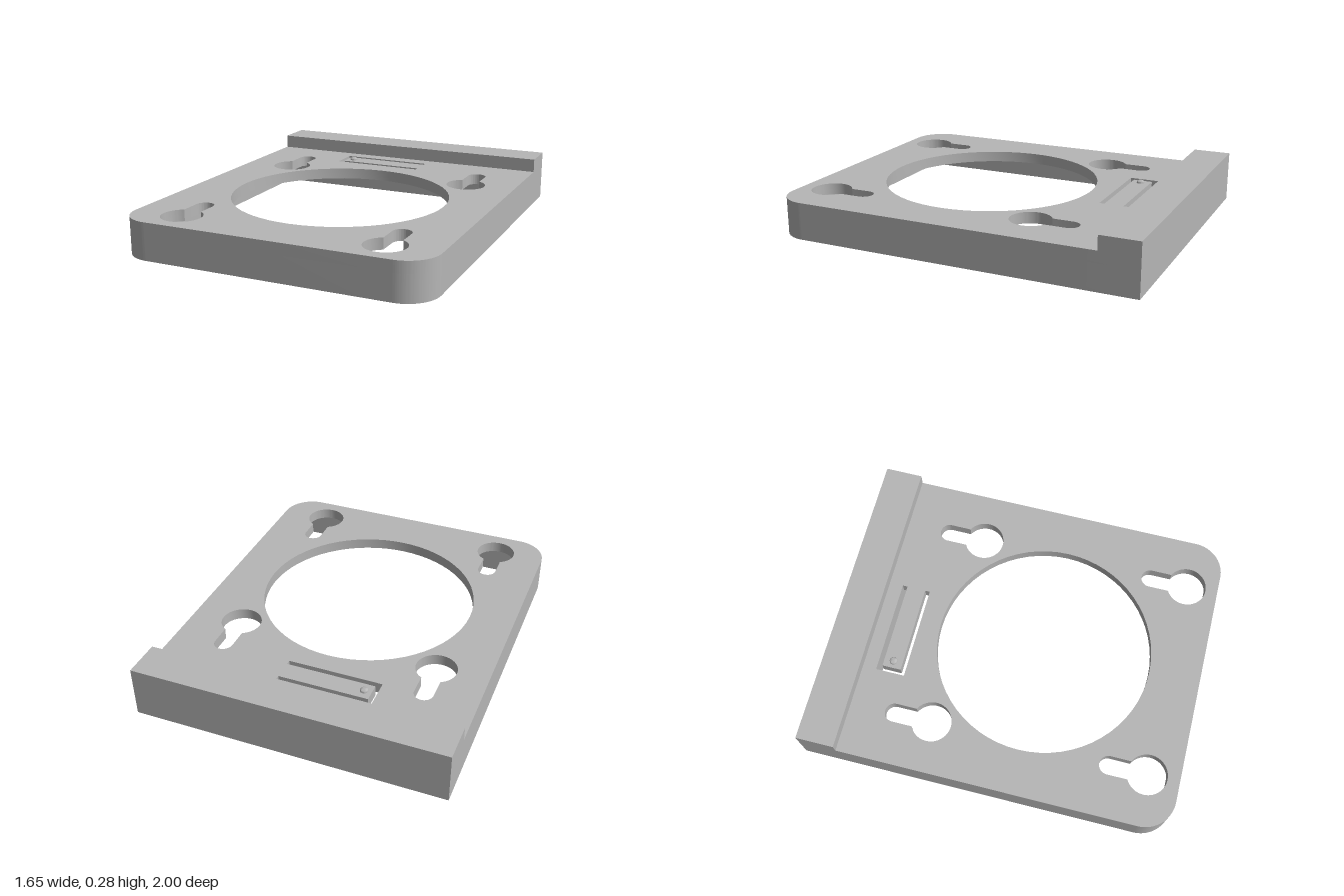
import * as THREE from 'three';
import { toCreasedNormals } from 'three/addons/utils/BufferGeometryUtils.js';

const W = 0.827, R = 0.17;        // half width, front corner radius
const TOP = 0.2, CEILING = 0.14;  // plate top and underside
const BLOCK_TOP = 0.275;

// Extrudes an (x, z) shape downward from yTop to yBottom.
function slab(shape, yTop, yBottom) {
  const g = new THREE.ExtrudeGeometry(shape, { depth: yTop - yBottom, bevelEnabled: false, curveSegments: 32 });
  g.rotateX(Math.PI / 2).translate(0, yTop, 0);
  return toCreasedNormals(g, 0.5);
}

function outline() {
  const s = new THREE.Shape();
  s.moveTo(-W, -1);
  s.lineTo(W, -1);
  s.lineTo(W, 1 - R);
  s.absarc(W - R, 1 - R, R, 0, Math.PI / 2, false);
  s.lineTo(R - W, 1);
  s.absarc(R - W, 1 - R, R, Math.PI / 2, Math.PI, false);
  s.closePath();
  return s;
}

function polygon(points) {
  return new THREE.Path(points.map(([x, z]) => new THREE.Vector2(x, z)));
}

// Round head with a narrow round-ended slot toward the back
function keyhole(cx, cz) {
  const head = 0.108, slot = 0.05, a = -Math.acos(slot / head);
  const p = new THREE.Path();
  p.absarc(cx, cz - 0.207, slot, Math.PI, 2 * Math.PI, false);
  p.absarc(cx, cz, head, a, Math.PI - a, false);
  p.closePath();
  return p;
}

export function createModel() {
  const group = new THREE.Group();
  const grey = new THREE.MeshStandardMaterial({ color: 0xb6b6b6 });
  grey.name = 'plain grey';
  const add = (name, geometry) => {
    const mesh = new THREE.Mesh(geometry, grey);
    mesh.name = name;
    group.add(mesh);
    return mesh;
  };

  // Top plate with central opening, keyholes and the slot that frees the spring tongue
  const plate = outline();
  plate.holes.push(new THREE.Path().absarc(0, 0.137, 0.587, 0, 2 * Math.PI, false));
  for (const x of [-0.552, 0.552]) {
    for (const z of [-0.347, 0.826]) plate.holes.push(keyhole(x, z));
  }
  plate.holes.push(polygon([
    [-0.34, -0.72], [0.17, -0.72], [0.17, -0.693], [-0.312, -0.693],
    [-0.312, -0.59], [0.17, -0.59], [0.17, -0.563], [-0.34, -0.563],
  ]));
  add('topPlate', slab(plate, TOP, CEILING));

  // Side walls and solid back around the hollow underside
  const skirt = outline();
  skirt.holes.push(polygon([[-0.77, -0.73], [0.77, -0.73], [0.77, 0.945], [-0.77, 0.945]]));
  add('skirtWalls', slab(skirt, CEILING, 0));

  // Raised ledge along the back
  const ledge = new THREE.BoxGeometry(2 * W, BLOCK_TOP - TOP, 0.205);
  add('backLedge', ledge).position.set(0, (BLOCK_TOP + TOP) / 2, -0.8975);

  // Small rounded catch on the tongue
  const catchProfile = [[0.021, 0], [0.021, 0.006], [0.018, 0.011], [0.012, 0.014], [0, 0.014]]
    .map(([r, y]) => new THREE.Vector2(r, y));
  add('tongueCatch', toCreasedNormals(new THREE.LatheGeometry(catchProfile, 24), 0.7)).position.set(-0.272, TOP, -0.641);

  return group;
}
